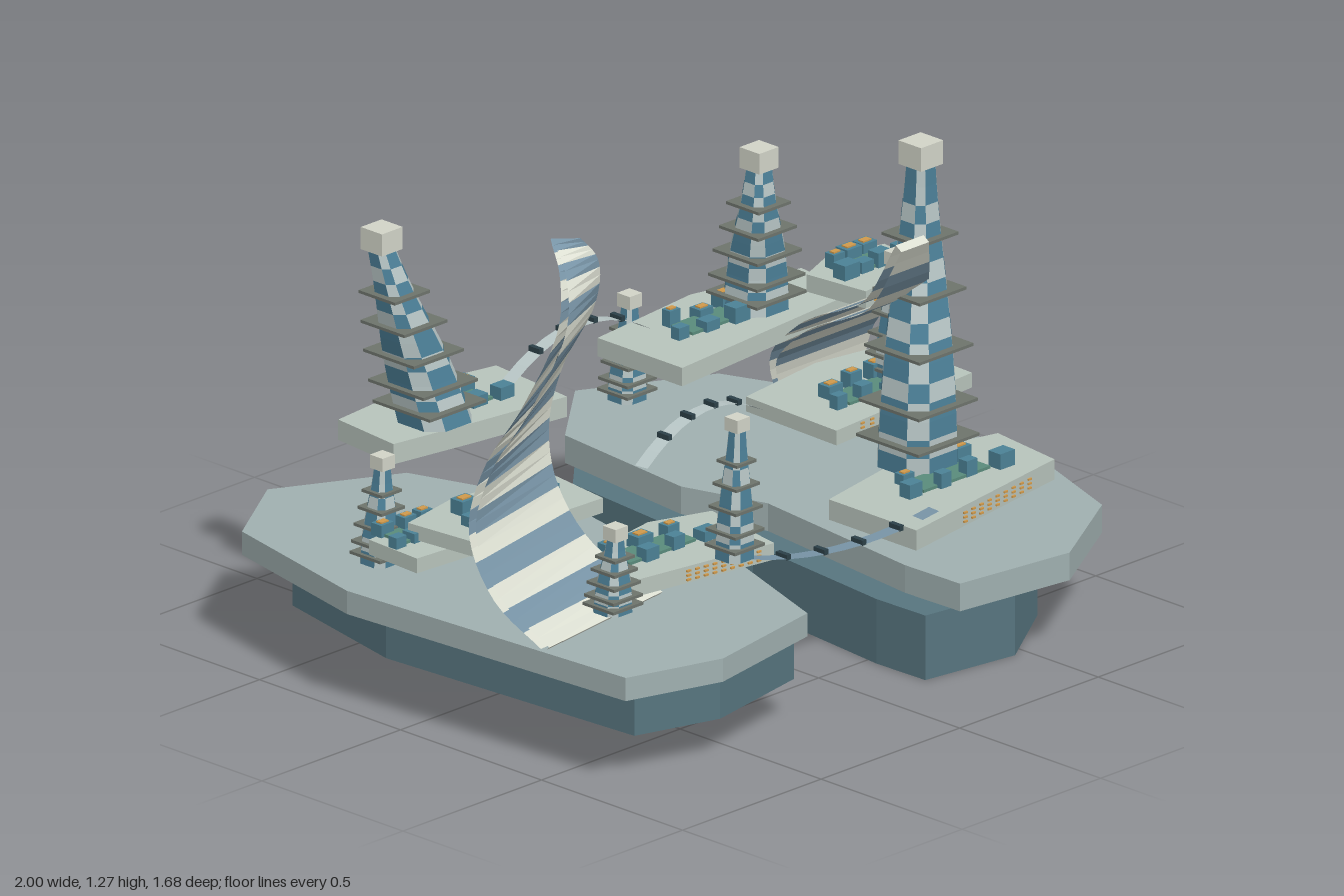
import * as THREE from 'three';

const mat = (color, side = THREE.FrontSide) => new THREE.MeshStandardMaterial({ color, flatShading: true, side });
const M = {
  deck: mat(0xa0b0b0), base: mat(0x57757f), terrace: mat(0xb8c4bc), park: mat(0x5a8c7c),
  block: mat(0x4c8296), cap: mat(0xd2d4c8), ring: mat(0x6e746c), amber: mat(0xd09a4c), dark: mat(0x2c4048),
  blue: mat(0x4c8098, THREE.DoubleSide), pale: mat(0xb8c6c6, THREE.DoubleSide),
  cream: mat(0xdcdfd2, THREE.DoubleSide), slate: mat(0x7894a6, THREE.DoubleSide),
};

let seed = 7;
const rnd = () => (seed = (seed * 16807) % 2147483647) / 2147483647;

function add(parent, name, geo, material, x = 0, y = 0, z = 0) {
  const m = new THREE.Mesh(geo, material);
  m.name = name;
  m.position.set(x, y, z);
  parent.add(m);
  return m;
}
const box = (p, name, material, w, h, d, x, y, z) => add(p, name, new THREE.BoxGeometry(w, h, d), material, x, y, z);

// Flat slab from an outline of [x, z] corners
function slab(parent, name, outline, y0, y1, material) {
  const shape = new THREE.Shape(outline.map(([x, z]) => new THREE.Vector2(x, -z)));
  const geo = new THREE.ExtrudeGeometry(shape, { depth: y1 - y0, bevelEnabled: false });
  geo.rotateX(-Math.PI / 2);
  return add(parent, name, geo, material, 0, y0, 0);
}

// Skin closed rings of points; pick(i, j) chooses the material of each panel
function loft(parent, name, rings, pick) {
  const parts = new Map();
  for (let i = 0; i < rings.length - 1; i++) {
    const n = rings[i].length;
    for (let j = 0; j < n; j++) {
      const k = (j + 1) % n, a = rings[i][j], b = rings[i][k], c = rings[i + 1][k], d = rings[i + 1][j];
      const m = pick(i, j);
      if (!parts.has(m)) parts.set(m, []);
      for (const p of [a, d, c, a, c, b]) parts.get(m).push(p.x, p.y, p.z);
    }
  }
  for (const [m, pos] of parts) {
    const geo = new THREE.BufferGeometry();
    geo.setAttribute('position', new THREE.Float32BufferAttribute(pos, 3));
    geo.computeVertexNormals();
    add(parent, name, geo, m);
  }
}

// Leaning chamfered tower with balcony rings and a pale cap
function tower(parent, name, foot, top, w0, w1, bands, bow = 0) {
  const g = new THREE.Group();
  g.name = name;
  const a = new THREE.Vector3(...foot), b = new THREE.Vector3(...top);
  const capH = w1 * 0.8;
  b.y -= capH;
  const centre = t => a.clone().lerp(b, t).add(new THREE.Vector3(bow, 0, -bow).multiplyScalar(Math.sin(t * Math.PI * 2)));
  const width = t => w0 + (w1 - w0) * t + 0.07 * w0 * Math.sin(t * 5);
  const rings = [];
  for (let i = 0; i <= bands; i++) {
    const t = i / bands, c = centre(t), r = width(t) / 2, q = r * 0.55;
    rings.push([[r, -q], [r, q], [q, r], [-q, r], [-r, q], [-r, -q], [-q, -r], [q, -r]]
      .map(([x, z]) => new THREE.Vector3(c.x + x, c.y, c.z + z)));
  }
  loft(g, 'towerShaft', rings, (i, j) => (i % 3 === 1) !== (j % 2 === 1) ? M.pale : M.blue);
  for (const t of [0.1, 0.22, 0.4, 0.58, 0.76]) {
    const c = centre(t), w = width(t) + w0 * 0.22;
    box(g, 'balconyRing', M.ring, w, 0.008, w, c.x, c.y, c.z);
  }
  box(g, 'towerCap', M.cap, w1, capH, w1, b.x, b.y + capH / 2, b.z);
  parent.add(g);
}

// Thin striped sheet through rows of [leftX, leftY, leftZ, rightX, rightY, rightZ]
function sail(parent, name, rows, steps, thick) {
  const L = new THREE.CatmullRomCurve3(rows.map(r => new THREE.Vector3(r[0], r[1], r[2])));
  const R = new THREE.CatmullRomCurve3(rows.map(r => new THREE.Vector3(r[3], r[4], r[5])));
  const rings = [];
  for (let i = 0; i <= steps; i++) {
    const t = i / steps, l = L.getPoint(t), r = R.getPoint(t);
    const n = r.clone().sub(l).cross(L.getTangent(t).add(R.getTangent(t))).setLength(thick / 2);
    rings.push([l.clone().add(n), r.clone().add(n), r.clone().sub(n), l.clone().sub(n)]);
  }
  loft(parent, name, rings, (i, j) => j % 2 ? M.dark : (i % 4 < 2 ? M.cream : M.slate));
  for (const q of [rings[0], rings[steps]]) loft(parent, name + 'End', [[q[0], q[1]], [q[3], q[2]]], () => M.cream);
}

// Arched footbridge ribbon with small lamps
function bridge(parent, from, to, rise, material) {
  const a = new THREE.Vector3(...from), b = new THREE.Vector3(...to);
  const at = t => a.clone().lerp(b, t).add(new THREE.Vector3(0, rise * 4 * t * (1 - t), 0));
  const side = new THREE.Vector3(a.z - b.z, 0, b.x - a.x).setLength(0.02);
  const near = [], far = [];
  for (let i = 0; i <= 10; i++) {
    const p = at(i / 10);
    near.push(p.clone().add(side));
    far.push(p.clone().sub(side));
  }
  const pos = [];
  for (let i = 0; i < 10; i++)
    for (const p of [near[i], near[i + 1], far[i + 1], near[i], far[i + 1], far[i]]) pos.push(p.x, p.y, p.z);
  const geo = new THREE.BufferGeometry();
  geo.setAttribute('position', new THREE.Float32BufferAttribute(pos, 3));
  geo.computeVertexNormals();
  add(parent, 'bridgeDeck', geo, material);
  for (const t of [0.2, 0.4, 0.6, 0.8]) {
    const p = at(t);
    box(parent, 'bridgeLamp', M.dark, 0.014, 0.014, 0.04, p.x, p.y + 0.005, p.z);
  }
}

// Green with little blocks round it, and lit windows along the front edge
function garden(parent, x, z, y, w) {
  box(parent, 'park', M.park, w, 0.008, 0.08, x, y + 0.004, z);
  for (let i = 0; i < 7; i++) {
    const s = 0.035 + 0.02 * rnd(), h = 0.025 + 0.02 * rnd();
    const bx = x + w * (i / 6 - 0.5) * 1.3, bz = z + (i % 2 ? -0.045 : 0.035) + 0.02 * (rnd() - 0.5);
    box(parent, 'block', M.block, s, h, s * 0.8, bx, y + h / 2, bz);
    if (i % 2) box(parent, 'blockRoof', M.amber, s * 0.6, 0.004, s * 0.4, bx, y + h + 0.002, bz);
  }
}
function windows(parent, x0, z0, x1, z1, y) {
  for (let r = 0; r < 3; r++) for (let i = 0; i < 9; i++) {
    const t = i / 8;
    box(parent, 'window', M.amber, 0.013, 0.005, 0.006, x0 + (x1 - x0) * t, y + r * 0.012, z0 + (z1 - z0) * t);
  }
}

export function createModel() {
  const g = new THREE.Group();
  g.name = 'twinIslandCity';

  // Islands: wide deck over a smaller, offset base
  const west = [[-0.625, -0.84], [-0.295, -0.67], [-0.16, -0.25], [-0.235, 0.12], [-0.165, 0.4], [-0.285, 0.74],
    [-0.66, 0.81], [-0.93, 0.73], [-0.99, -0.2], [-0.88, -0.68]];
  const east = [[0.495, -0.85], [0.835, -0.675], [0.92, -0.45], [1, 0.27], [0.86, 0.66], [0.565, 0.835],
    [0.215, 0.79], [0.21, 0.6], [0.275, 0.05], [0.205, -0.19], [0.255, -0.65]];
  slab(g, 'rightDeck', west, 0.257, 0.32, M.deck);
  slab(g, 'rightBase', west.map(([x, z]) => [(x + 0.575) * 0.88 - 0.505, z * 0.89]), 0.11, 0.235, M.base);
  slab(g, 'leftDeck', east, 0.2, 0.275, M.deck);
  slab(g, 'leftBase', east.map(([x, z]) => [(x - 0.6) * 0.81 + 0.49, z * 0.89]), 0, 0.175, M.base);

  // Floating terraces: outline, bottom, top, garden centre and width
  const terraces = [
    [[[-0.675, -0.54], [-0.37, -0.57], [-0.125, -0.52], [-0.155, -0.24], [-0.45, -0.28], [-0.7, -0.32]], 0.55, 0.605, -0.4, -0.4, 0.2],
    [[[-0.8, -0.17], [-0.6, -0.21], [-0.3, -0.16], [-0.33, 0.06], [-0.78, 0.04]], 0.42, 0.46, -0.56, -0.08, 0.2],
    [[[-0.87, -0.24], [-0.62, -0.25], [-0.56, -0.21], [-0.58, -0.04], [-0.88, -0.06]], 0.375, 0.415, -0.75, -0.19, 0.16],
    [[[-0.62, 0.22], [-0.27, 0.16], [-0.1, 0.22], [-0.15, 0.49], [-0.6, 0.42]], 0.36, 0.405, -0.4, 0.3, 0.24],
    [[[0.21, -0.49], [0.59, -0.535], [0.92, -0.465], [0.89, -0.25], [0.21, -0.19]], 0.545, 0.595, 0.5, -0.37, 0.22],
    [[[0.41, -0.16], [0.7, -0.2], [0.94, -0.16], [0.93, 0.13], [0.4, 0.17]], 0.43, 0.47, 0.65, 0.03, 0.2],
    [[[0.21, 0.33], [0.6, 0.25], [0.84, 0.31], [0.81, 0.54], [0.21, 0.64]], 0.325, 0.38, 0.53, 0.43, 0.24],
    [[[0.71, -0.24], [0.83, -0.29], [1, -0.25], [0.98, -0.08], [0.73, -0.05]], 0.65, 0.697, 0.86, -0.19, 0.14],
  ];
  for (const [outline, y0, y1, x, z, w] of terraces) {
    slab(g, 'terrace', outline, y0, y1, M.terrace);
    garden(g, x, z, y1, w);
  }
  windows(g, -0.42, 0.452, -0.2, 0.485, 0.37);
  windows(g, 0.42, 0.608, 0.7, 0.56, 0.338);
  windows(g, 0.5, 0.164, 0.8, 0.142, 0.438);
  windows(g, 0.77, -0.057, 0.93, -0.073, 0.662);

  // Tall towers, then small ones
  tower(g, 'tallTower', [-0.5, 0.605, -0.37], [-0.63, 1.145, -0.43], 0.17, 0.075, 12, 0.008);
  tower(g, 'tallTower', [0.65, 0.595, -0.36], [0.63, 1.04, -0.33], 0.15, 0.07, 12, 0.008);
  tower(g, 'tallTower', [0.55, 0.38, 0.31], [0.605, 1.228, 0.268], 0.185, 0.08, 16, -0.012);
  const small = [[-0.39, 0.46, 0.585, 0.84], [-0.69, 0.36, 0.448, 0.59], [-0.785, 0.32, -0.285, 0.61],
    [0.395, 0.36, -0.568, 0.645], [0.77, 0.47, 0.01, 0.813]];
  for (const [x, y, z, top] of small) tower(g, 'smallTower', [x, y, z], [x + 0.005, top, z + 0.005], 0.09, 0.045, 7);

  // Great upright sail and the long sweeping ramp
  sail(g, 'sail', [
    [-0.93, 0.32, 0.45, -0.45, 0.32, 0.38], [-1, 0.45, 0.34, -0.57, 0.45, 0.25], [-0.985, 0.6, 0.24, -0.6, 0.6, 0.15],
    [-0.93, 0.75, 0.24, -0.59, 0.75, 0.11], [-0.83, 0.9, 0.28, -0.55, 0.9, 0.12], [-0.7, 1.08, 0.28, -0.515, 1.08, 0.2],
    [-0.64, 1.2, 0.22, -0.52, 1.2, 0.22], [-0.61, 1.265, 0.15, -0.555, 1.265, 0.2]], 36, 0.022);
  const ramp = [[0.42, 1.04, 0.42, 0.1], [0.49, 0.86, 0.3, 0.2], [0.61, 0.75, 0.12, 0.27], [0.71, 0.67, -0.04, 0.31],
    [0.78, 0.59, -0.17, 0.35], [0.805, 0.48, -0.28, 0.35], [0.83, 0.34, -0.315, 0.28]];
  sail(g, 'ramp', ramp.map(([x, y, z, w]) => [x - w / 2, y, z, x + w / 2, y, z]), 28, 0.024);

  // Bridges between the islands
  bridge(g, [-0.19, 0.61, -0.412], [0.34, 0.6, -0.45], 0.08, M.pale);
  bridge(g, [-0.2, 0.51, 0.068], [0.28, 0.52, 0.008], 0.075, M.pale);
  bridge(g, [-0.3, 0.42, 0.536], [0.33, 0.39, 0.585], -0.04, M.slate);
  return g;
}
